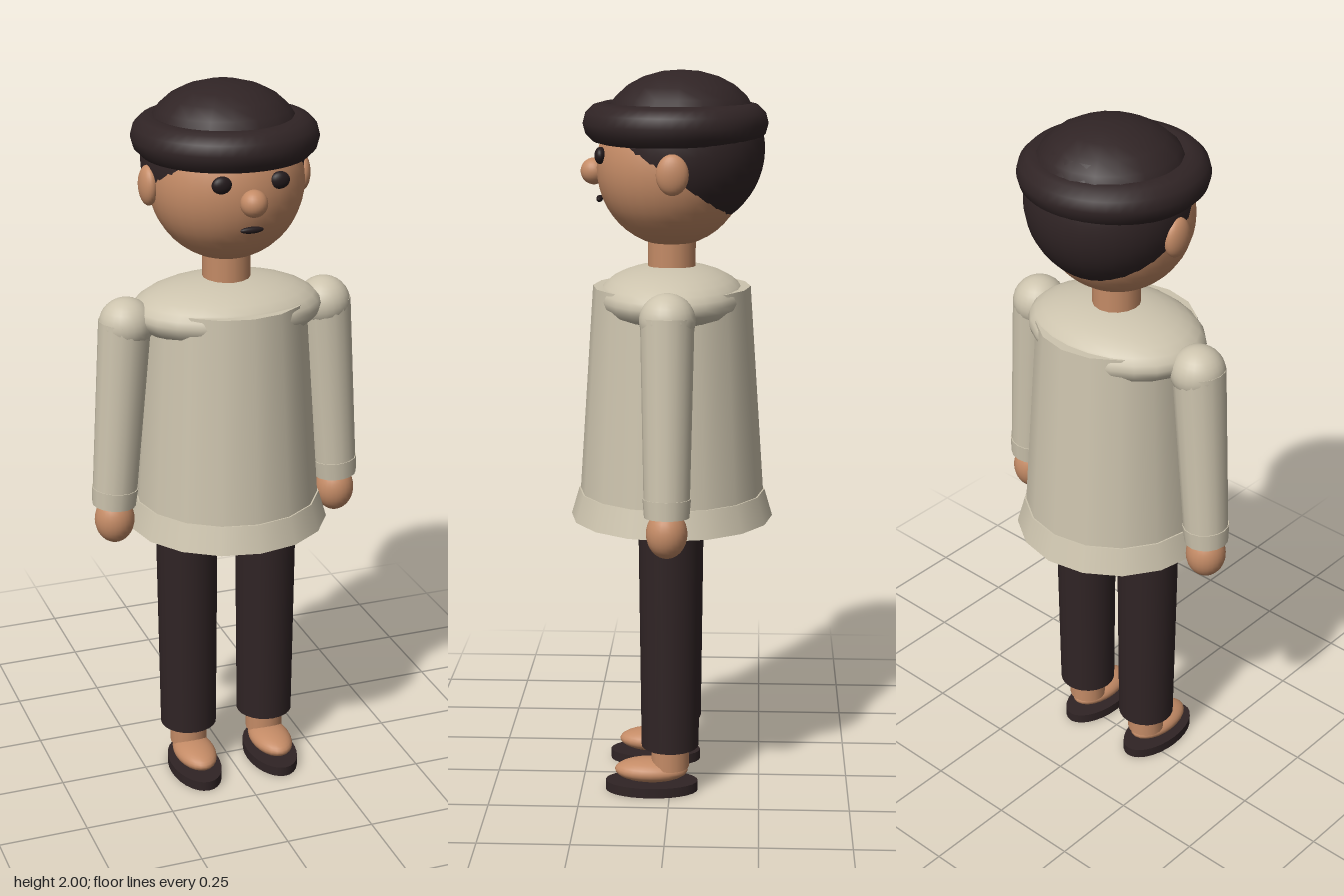
import * as THREE from 'three';

const material = (name, color) => {
  const m = new THREE.MeshStandardMaterial({ color });
  m.name = name;
  return m;
};

export function createModel() {
  const model = new THREE.Group();
  model.name = 'standingFigure';
  const skin = material('skin', 0xc48b66);
  const cloth = material('shirtBeige', 0xcdc4ae);
  const dark = material('darkBrown', 0x302425);
  const black = material('faceDark', 0x231a1c);

  const add = (name, geometry, mat, x, y, z) => {
    const mesh = new THREE.Mesh(geometry, mat);
    mesh.name = name;
    mesh.position.set(x, y, z);
    model.add(mesh);
    return mesh;
  };
  // Ellipsoid from centre and half sizes
  const ball = (name, mat, [x, y, z], [rx, ry, rz], w = 24, h = 16) =>
    add(name, new THREE.SphereGeometry(1, w, h).scale(rx, ry, rz), mat, x, y, z);
  // Tapered round part between two points
  const limb = (name, mat, top, bottom, rTop, rBottom, sides = 16) => {
    const a = new THREE.Vector3(...top), b = new THREE.Vector3(...bottom);
    const axis = a.clone().sub(b);
    const mid = a.clone().add(b).multiplyScalar(0.5);
    const mesh = add(name, new THREE.CylinderGeometry(rTop, rBottom, axis.length(), sides), mat, mid.x, mid.y, mid.z);
    mesh.quaternion.setFromUnitVectors(new THREE.Vector3(0, 1, 0), axis.normalize());
    return mesh;
  };

  // Shirt
  limb('shirtBody', cloth, [0, 1.42, 0], [0, 0.79, 0], 0.215, 0.258);
  limb('shirtHem', cloth, [0, 0.85, 0], [0, 0.775, 0], 0.258, 0.28);
  ball('shirtShoulders', cloth, [0, 1.39, 0], [0.265, 0.09, 0.2]);

  // Neck and head
  limb('neck', skin, [0, 1.58, 0], [0, 1.45, 0], 0.065, 0.065);
  ball('head', skin, [0, 1.742, 0], [0.208, 0.212, 0.203], 32, 24);
  ball('nose', skin, [0, 1.73, 0.21], [0.036, 0.036, 0.036]);
  ball('mouth', black, [0, 1.656, 0.195], [0.032, 0.009, 0.009]);

  // Hair set back and up so that it only shows behind the ears
  const hair = new THREE.SphereGeometry(0.217, 32, 20, 0, Math.PI * 2, 0.75, Math.PI - 0.75);
  add('hair', hair, dark, 0, 1.79, -0.033);

  // Cap with a rolled brim
  const brim = new THREE.TorusGeometry(0.194, 0.055, 12, 48).rotateX(Math.PI / 2);
  add('hatBrim', brim, dark, 0, 1.86, -0.01);
  ball('hatCrown', dark, [0, 1.86, -0.025], [0.205, 0.14, 0.205], 18, 12);

  for (const [side, s] of [['left', 1], ['right', -1]]) {
    // Face
    ball(side + 'Ear', skin, [s * 0.213, 1.742, -0.01], [0.025, 0.054, 0.043]);
    ball(side + 'Eye', black, [s * 0.079, 1.779, 0.186], [0.027, 0.023, 0.016]);

    // Arm
    ball(side + 'Shoulder', cloth, [s * 0.283, 1.372, 0], [0.074, 0.072, 0.074]);
    limb(side + 'Sleeve', cloth, [s * 0.287, 1.38, 0], [s * 0.325, 0.89, 0], 0.071, 0.061);
    limb(side + 'Cuff', cloth, [s * 0.324, 0.905, 0], [s * 0.328, 0.855, 0], 0.064, 0.06);
    ball(side + 'Hand', skin, [s * 0.327, 0.81, 0], [0.055, 0.067, 0.055]);

    // Leg
    limb(side + 'Trouser', dark, [s * 0.118, 0.9, 0], [s * 0.117, 0.135, 0], 0.088, 0.08, 24);
    limb(side + 'Ankle', skin, [s * 0.117, 0.16, 0], [s * 0.117, 0.07, 0], 0.053, 0.053);
    ball(side + 'Foot', skin, [s * 0.117, 0.06, 0.053], [0.058, 0.033, 0.103]);
    const sole = new THREE.CylinderGeometry(1, 1, 0.028, 28).scale(0.07, 1, 0.13);
    add(side + 'Sole', sole, dark, s * 0.117, 0.014, 0.052);
  }
  return model;
}
